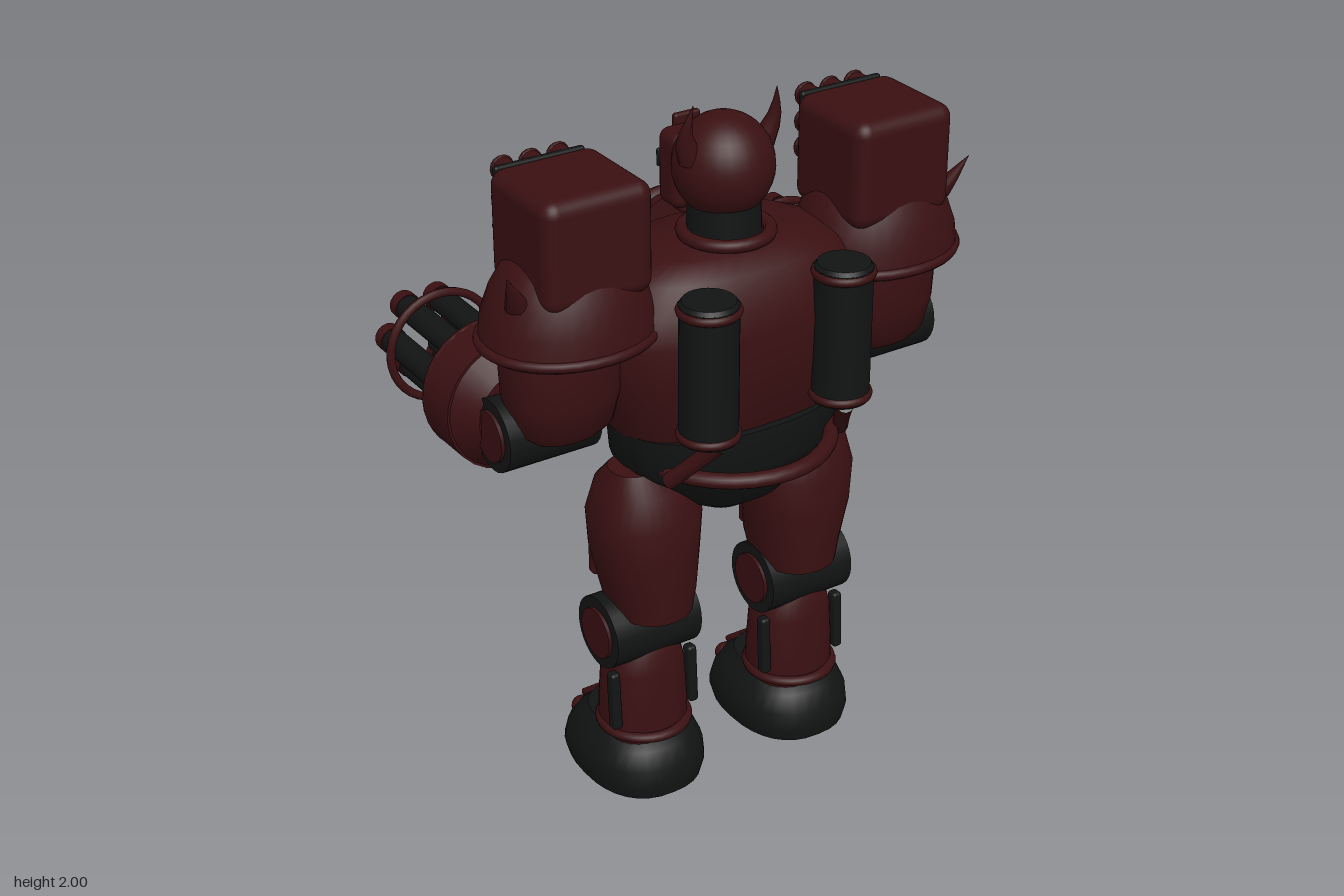
import * as THREE from 'three';
import { toCreasedNormals } from 'three/addons/utils/BufferGeometryUtils.js';
import { RoundedBoxGeometry } from 'three/addons/geometries/RoundedBoxGeometry.js';

const mat = (name, color) => {
  const m = new THREE.MeshStandardMaterial({ color });
  m.name = name;
  return m;
};

// Closed solid through superellipse rings [y, rx, rz, cx, cz], listed bottom to top
function loft(rings, power = 2, n = 32) {
  const pos = [], idx = [];
  const bend = (v) => Math.sign(v) * Math.pow(Math.abs(v), 2 / power);
  for (const [y, rx, rz, cx = 0, cz = 0] of rings)
    for (let i = 0; i < n; i++) {
      const a = (i / n) * Math.PI * 2;
      pos.push(cx + rx * bend(Math.cos(a)), y, cz + rz * bend(Math.sin(a)));
    }
  const last = rings.length - 1, bottom = rings.length * n, top = bottom + 1;
  for (const r of [rings[0], rings[last]]) pos.push(r[3] || 0, r[0], r[4] || 0);
  for (let i = 0; i < n; i++) {
    const k = (i + 1) % n;
    for (let j = 0; j < last; j++) {
      const a = j * n + i, b = j * n + k;
      idx.push(a, a + n, b, b, a + n, b + n);
    }
    idx.push(bottom, i, k, top, last * n + k, last * n + i);
  }
  const g = new THREE.BufferGeometry();
  g.setAttribute('position', new THREE.Float32BufferAttribute(pos, 3));
  g.setIndex(idx);
  return toCreasedNormals(g, 0.75);
}

const cyl = (r1, r2, h, seg = 24) => new THREE.CylinderGeometry(r1, r2, h, seg);
const alongZ = (r1, r2, h, seg) => cyl(r1, r2, h, seg).rotateX(-Math.PI / 2); // r1 end faces -z
const alongX = (r, h, seg) => cyl(r, r, h, seg).rotateZ(Math.PI / 2);
const ball = (r) => new THREE.SphereGeometry(r, 28, 18);
const torus = (R, r) => new THREE.TorusGeometry(R, r, 10, 36);
const flatRing = (R, r) => torus(R, r).rotateX(Math.PI / 2);
const box = (x, y, z, r = 0.01) => new RoundedBoxGeometry(x, y, z, 3, r);
const tube = (pts, r) => new THREE.TubeGeometry(
  new THREE.CatmullRomCurve3(pts.map((p) => new THREE.Vector3(...p))), 16, r, 10);

export function createModel() {
  const root = new THREE.Group();
  root.name = 'armouredRobot';
  const red = mat('dark red armour', 0x3a1012);
  const black = mat('black metal', 0x121413);
  const glow = mat('orange glow', 0xe8431a);

  const add = (name, geo, m, x = 0, y = 0, z = 0, parent = root) => {
    const mesh = new THREE.Mesh(geo, m);
    mesh.name = name;
    mesh.position.set(x, y, z);
    parent.add(mesh);
    return mesh;
  };

  // Torso, waist and belt
  add('torso', loft([[1.12, 0.33, 0.21], [1.2, 0.36, 0.235], [1.3, 0.39, 0.25], [1.42, 0.41, 0.255],
    [1.5, 0.39, 0.24], [1.57, 0.33, 0.2], [1.61, 0.24, 0.15]], 2.6, 40), red, 0, 0, 0.14);
  add('pelvis', loft([[0.83, 0.08, 0.08], [0.88, 0.16, 0.15], [0.99, 0.29, 0.2], [1.02, 0.32, 0.215],
    [1.13, 0.33, 0.215]], 2.4), black, 0, 0, 0.16);
  add('belt', flatRing(0.28, 0.022), red, 0, 1.04, 0.17).scale.set(1, 1, 1.06);

  // Oval chest reactor with its grille
  const chest = new THREE.Group();
  chest.name = 'chestReactor';
  chest.position.set(0, 1.39, -0.12);
  root.add(chest);
  add('reactorBase', alongZ(0.16, 0.175, 0.07, 36), red, 0, 0, 0.01, chest).scale.set(1, 1.4, 1);
  add('reactorRim', torus(0.14, 0.034), red, 0, 0, -0.02, chest).scale.set(1, 1.4, 1);
  add('reactorGlow', alongZ(0.113, 0.113, 0.008, 36), glow, 0, 0, -0.03, chest).scale.set(1, 1.48, 1);
  for (const x of [-0.055, -0.018, 0.018, 0.055])
    add('grilleBar', new THREE.BoxGeometry(0.012, 0.3 - Math.abs(x), 0.012), red, x, 0, -0.037, chest);

  // Neck, head and face mask
  add('neck', cyl(0.095, 0.1, 0.12), black, 0, 1.66, 0.16);
  add('collar', flatRing(0.115, 0.018), red, 0, 1.625, 0.17);
  add('head', ball(0.135), red, 0, 1.8, 0.155).scale.set(1, 1.04, 1);
  add('faceMask', box(0.19, 0.21, 0.1, 0.03), red, 0, 1.76, 0.03);
  add('chin', box(0.11, 0.08, 0.07, 0.02), red, 0, 1.665, 0.015);
  add('browPlate', box(0.08, 0.09, 0.02, 0.008), red, 0, 1.84, -0.02);
  add('nose', box(0.03, 0.09, 0.025, 0.008), red, 0, 1.76, -0.025);
  add('mouthGuard', box(0.085, 0.06, 0.02, 0.008), black, 0, 1.69, -0.022);

  for (const s of [-1, 1]) {
    const part = new THREE.Group();
    part.name = s > 0 ? 'leftSide' : 'rightSide';
    root.add(part);
    const put = (name, geo, m, x, y, z) => add(name, geo, m, s * x, y, z, part);

    // Eyes and horns
    put('eyeSocket', box(0.075, 0.05, 0.012, 0.005), black, 0.052, 1.775, -0.021);
    put('eye', new THREE.SphereGeometry(0.03, 16, 10), glow, 0.054, 1.772, -0.026)
      .scale.set(1, 0.5, 0.3);
    const horn = loft([[1.83, 0.036, 0.03, 0.105 * s, 0.17], [1.88, 0.03, 0.025, 0.125 * s, 0.175],
      [1.92, 0.018, 0.017, 0.135 * s, 0.185], [1.96, 0.009, 0.009, 0.132 * s, 0.197],
      [2, 0.001, 0.001, 0.126 * s, 0.207]], 2, 12);
    put('horn', horn, red, 0, 0, 0);

    // Back tanks with caps, and hoses down to the belt
    put('tank', cyl(0.078, 0.078, 0.38), black, 0.207, 1.37, 0.405);
    for (const y of [1.195, 1.545]) put('tankBand', flatRing(0.072, 0.014), red, 0.207, y, 0.405);
    put('tankTop', cyl(0.07, 0.078, 0.012), black, 0.207, 1.565, 0.405);
    put('tankHose', tube([[0.2 * s, 1.17, 0.44], [0.235 * s, 1.1, 0.38], [0.275 * s, 1.03, 0.32]], 0.022),
      red, 0, 0, 0);

    // Side vents on the lower chest
    for (let i = 0; i < 3; i++)
      put('chestVent', box(0.09, 0.02, 0.02, 0.006), black, 0.27, 1.19 + i * 0.035, -0.062 - i * 0.006)
        .rotation.y = -0.5 * s;

    // Shoulder dome with rim and spike
    put('shoulder', loft([[1.45, 0.235, 0.205], [1.53, 0.225, 0.197], [1.6, 0.2, 0.175],
      [1.66, 0.165, 0.145], [1.71, 0.11, 0.1], [1.73, 0.05, 0.05]], 2.1), red, 0.477, 0, 0.17);
    put('shoulderRim', flatRing(0.232, 0.015), red, 0.477, 1.465, 0.17).scale.set(1, 1, 0.87);
    const spike = loft([[1.59, 0.035, 0.035, 0.645 * s, 0.225], [1.64, 0.022, 0.022, 0.67 * s, 0.25],
      [1.705, 0.001, 0.001, 0.703 * s, 0.28]], 2, 12);
    put('shoulderSpike', spike, red, 0, 0, 0);

    // Missile pod
    put('missilePod', box(0.31, 0.3, 0.3, 0.04), red, 0.462, 1.735, 0.175);
    put('podFace', box(0.26, 0.25, 0.02, 0.008), black, 0.462, 1.755, 0.022);
    for (let r = 0; r < 3; r++)
      for (let c = -1; c <= 1; c++) {
        const x = 0.462 + c * 0.08, y = 1.7 + r * 0.075;
        put('missileTube', alongZ(0.03, 0.03, 0.05, 14), red, x, y, 0);
        put('missileRim', new THREE.TorusGeometry(0.026, 0.008, 6, 14), red, x, y, -0.025);
        put('missileMouth', alongZ(0.02, 0.02, 0.004, 12), black, x, y, -0.026);
      }

    // Upper arm, elbow and gun housing
    put('upperArm', loft([[1.18, 0.1, 0.08], [1.21, 0.135, 0.105], [1.3, 0.155, 0.125],
      [1.42, 0.16, 0.13], [1.5, 0.15, 0.125]], 2.4), red, 0.5, 0, 0.165);
    put('elbow', alongX(0.1, 0.27), black, 0.54, 1.19, 0.11);
    put('elbowCap', alongX(0.07, 0.29), red, 0.54, 1.19, 0.11);
    put('forearm', alongZ(0.185, 0.13, 0.07, 28), red, 0.56, 1.205, 0.04);
    put('gunHousing', alongZ(0.19, 0.188, 0.13, 28), red, 0.56, 1.205, -0.055);
    put('housingRim', torus(0.173, 0.018), red, 0.56, 1.205, -0.12);
    put('gunHub', alongZ(0.15, 0.15, 0.02, 28), black, 0.56, 1.205, -0.125);

    // Rotary barrels held by a ring
    for (let i = 0; i < 6; i++) {
      const a = (i * Math.PI) / 3;
      const x = 0.56 + 0.1 * Math.cos(a), y = 1.21 + 0.1 * Math.sin(a);
      put('barrel', alongZ(0.036, 0.036, 0.36, 16), black, x, y, -0.3);
      put('muzzle', alongZ(0.039, 0.039, 0.035, 16), red, x, y, -0.483);
      put('bore', alongZ(0.022, 0.022, 0.004, 12), black, x, y, -0.5);
    }
    put('barrelRing', torus(0.155, 0.012), red, 0.56, 1.21, -0.375);
    put('barrelAxle', alongZ(0.03, 0.03, 0.28, 14), black, 0.56, 1.21, -0.26);

    // Thigh with raised front plate
    put('thigh', loft([[0.56, 0.11, 0.13, -0.01 * s, 0.005], [0.63, 0.125, 0.14, -0.01 * s, 0], [0.75, 0.145, 0.148],
      [0.86, 0.153, 0.15], [0.95, 0.12, 0.12, 0.01 * s], [1.01, 0.08, 0.07, 0.025 * s, 0.01]], 2.3),
      red, 0.25, 0, 0.155);
    put('thighPlate', box(0.17, 0.22, 0.04, 0.015), red, 0.25, 0.71, 0.012);
    put('thighInset', box(0.11, 0.15, 0.02, 0.008), red, 0.25, 0.71, -0.008);

    // Knee joint with cap and side discs
    put('kneeJoint', alongX(0.105, 0.27, 28), black, 0.255, 0.5, 0.14);
    put('kneeDisc', alongX(0.073, 0.29, 28), red, 0.255, 0.5, 0.14);
    put('kneeCap', ball(0.12), red, 0.25, 0.5, 0.1).scale.set(0.92, 0.85, 0.86);

    // Shin with side pistons and ankle ring
    put('shin', loft([[0.14, 0.125, 0.115], [0.25, 0.123, 0.11], [0.37, 0.115, 0.105],
      [0.43, 0.1, 0.095], [0.46, 0.07, 0.08]], 2.3), red, 0.25, 0, 0.14);
    for (const x of [0.125, 0.375])
      put('shinPiston', box(0.03, 0.18, 0.035, 0.01), black, x, 0.3, 0.195).rotation.x = -0.06;
    put('ankleRing', flatRing(0.122, 0.015), red, 0.25, 0.18, 0.145);

    // Foot with toe ornament
    put('foot', loft([[0, 0.165, 0.212], [0.04, 0.177, 0.22], [0.09, 0.172, 0.208, 0, 0.005],
      [0.14, 0.15, 0.178, 0, 0.008], [0.18, 0.12, 0.13, 0, 0]], 2.4), black, 0.25, 0, 0.09);
    put('toeBar', alongX(0.025, 0.13, 14), red, 0.25, 0.08, -0.105);
    for (const x of [0.19, 0.25, 0.31]) put('toeStud', ball(0.03), red, x, 0.08, -0.1);
    put('toePlate', box(0.14, 0.02, 0.07, 0.008), red, 0.25, 0.155, -0.055).rotation.x = -0.5;
  }
  return root;
}
